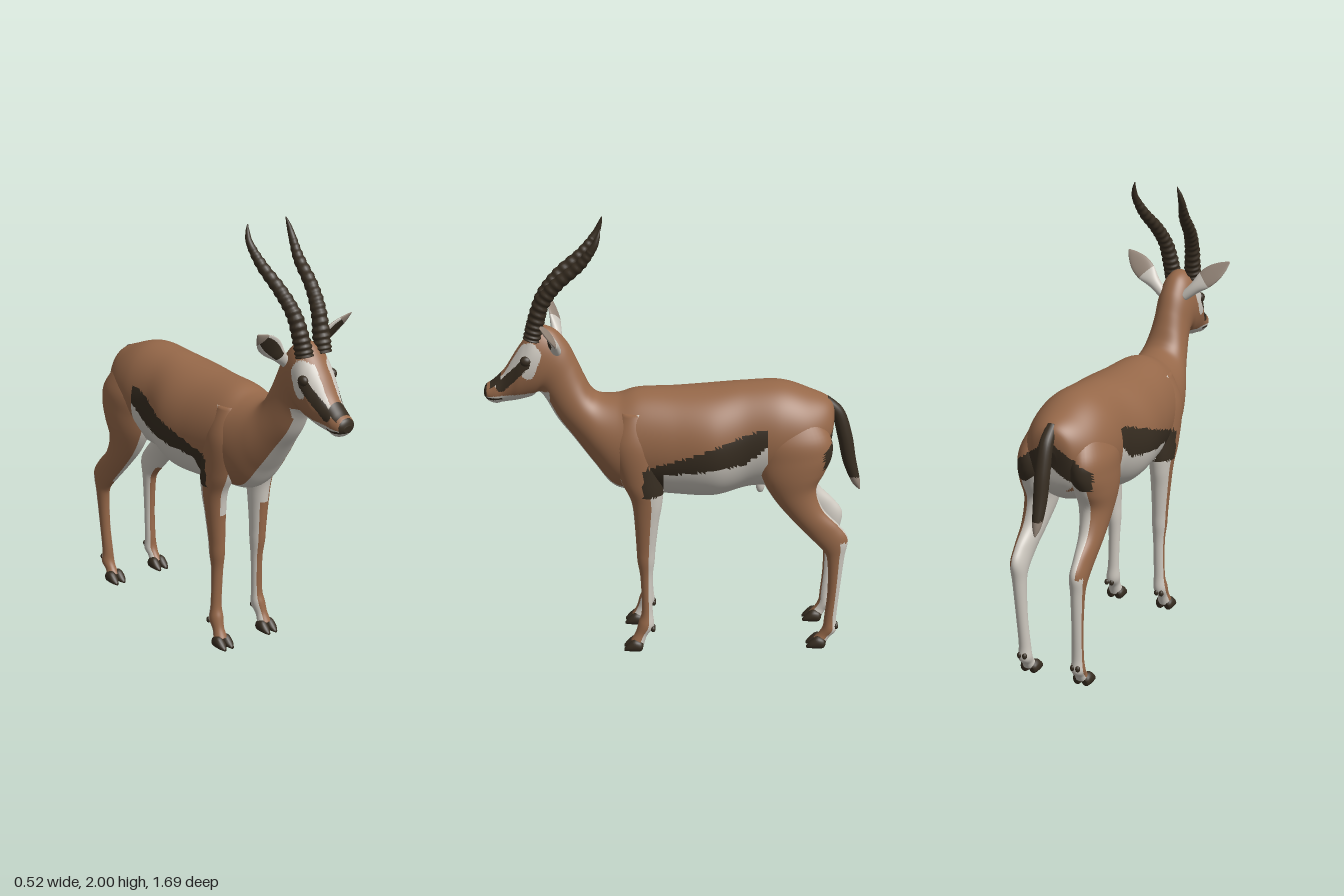
import * as THREE from 'three';

const mat = (name, color) => {
  const m = new THREE.MeshStandardMaterial({ color });
  m.name = name;
  return m;
};
const TAN = mat('tan coat', 0x966849);
const WHITE = mat('white fur', 0xcdc8bf);
const DARK = mat('dark brown', 0x372d21);
const GREY = mat('ear grey', 0x96877a);

const spline = (a, b, c, d, t) =>
  b + 0.5 * t * (c - a + t * (2 * a - 5 * b + 4 * c - d + t * (3 * (b - c) + d - a)));

// Smooth skin over sections [aZ, aY, bZ, bY, halfWidth, centreX]; a and b are opposite
// outline points. paint(point, angle) picks the material of each face; angle 0 is at a.
function loft(name, secs, paint, { side = 1, seg = 40, step = 7, ridge = null } = {}) {
  const pos = [], ang = [], idx = [];
  const n = (secs.length - 1) * step;
  const at = (i) => secs[Math.max(0, Math.min(secs.length - 1, i))];
  for (let k = 0; k <= n; k++) {
    const i = Math.min(Math.floor(k / step), secs.length - 2), t = k / step - i;
    const [az, ay, bz, by, w, cx] = [0, 1, 2, 3, 4, 5].map((c) =>
      spline(...[-1, 0, 1, 2].map((o) => at(i + o)[c] ?? 0), t));
    const f = ridge ? ridge(k / n) : 1;
    for (let j = 0; j < seg; j++) {
      const a = (j / seg) * Math.PI * 2, c = Math.cos(a) * f / 2;
      pos.push(side * (cx + w * f * Math.sin(a)), (ay + by) / 2 + (ay - by) * c, (az + bz) / 2 + (az - bz) * c);
      ang.push(a);
    }
  }
  for (let k = 0; k < n; k++) for (let j = 0; j < seg; j++) {
    const p = k * seg + j, q = k * seg + (j + 1) % seg;
    idx.push([p, q, p + seg], [q, q + seg, p + seg]);
  }
  for (let j = 1; j < seg - 1; j++) {
    const e = n * seg;
    idx.push([0, j + 1, j], [e, e + j, e + j + 1]);
  }
  const P = (i) => new THREE.Vector3().fromArray(pos, i * 3);
  // Turn the faces outward, whichever way the sections run
  const volume = idx.reduce((s, [a, b, c]) => s + P(a).dot(P(b).cross(P(c))), 0);
  const buckets = new Map();
  for (const [a, b, c] of idx) {
    const mid = P(a).add(P(b)).add(P(c)).divideScalar(3);
    const m = paint.isMaterial ? paint : paint(mid, ang[b]);
    if (!buckets.has(m)) buckets.set(m, []);
    buckets.get(m).push(...(volume < 0 ? [a, c, b] : [a, b, c]));
  }
  const g = new THREE.BufferGeometry();
  g.setAttribute('position', new THREE.Float32BufferAttribute(pos, 3));
  const all = [], mats = [];
  for (const [m, list] of buckets) {
    g.addGroup(all.length, list.length, mats.length);
    mats.push(m);
    for (const v of list) all.push(v);
  }
  g.setIndex(all);
  g.computeVertexNormals();
  const mesh = new THREE.Mesh(g, mats);
  mesh.name = name;
  return mesh;
}

// Sections for a round part along points [x, y, z, radius]
const round = (pts) => pts.map(([x, y, z, r], i) => {
  const p = pts[Math.max(0, i - 1)], q = pts[Math.min(pts.length - 1, i + 1)];
  const l = Math.hypot(q[1] - p[1], q[2] - p[2]);
  const dy = (q[1] - p[1]) / l * r, dz = (q[2] - p[2]) / l * r;
  return [z + dy, y - dz, z - dy, y + dz, r, x];
});

function ball(name, material, r, x, y, z, sx = 1, sy = 1, sz = 1) {
  const m = new THREE.Mesh(new THREE.SphereGeometry(r, 20, 14), material);
  m.name = name;
  m.position.set(x, y, z);
  m.scale.set(sx, sy, sz);
  return m;
}

// Distance from a point to a line segment in the side plane
function segDist(z, y, z0, y0, z1, y1) {
  const dz = z1 - z0, dy = y1 - y0;
  const t = THREE.MathUtils.clamp(((z - z0) * dz + (y - y0) * dy) / (dz * dz + dy * dy), 0, 1);
  return Math.hypot(z - z0 - t * dz, y - y0 - t * dy);
}

// Rump patch: dark slanted band beside the tail, white below
function rumpPaint(p) {
  const d = p.y - (1.14 - Math.abs(p.x) * 0.75);
  if (d > 0) return TAN;
  return d > -0.12 ? DARK : WHITE;
}

function facePaint(p, a) {
  const { y, z } = p, ax = Math.abs(p.x);
  if (z > 0.83 && y > 1.215) return DARK;
  if (Math.cos(a) > 0.6 && z > 0.765 && z < 0.815) return DARK;
  if (z > 0.76 && Math.abs(y - 1.212) < 0.005) return DARK;
  if (y < 1.245 - (z - 0.6) * 0.1) return WHITE;
  if (ax > 0.03 && Math.cos(a) < 0.93) {
    if (segDist(z, y, 0.65, 1.39, 0.765, 1.27) < 0.021) return DARK;
    if (segDist(z, y, 0.625, 1.45, 0.68, 1.42) < 0.03) return WHITE;
    if (segDist(z, y, 0.68, 1.42, 0.78, 1.29) < 0.022) return WHITE;
    if (segDist(z, y, 0.61, 1.43, 0.64, 1.35) < 0.03) return WHITE;
  }
  return TAN;
}

function bodyPaint(p, a) {
  const { y, z } = p;
  if (z > 0.55 && y > 1.17) return facePaint(p, a);
  if (z > 0.14) return Math.cos(a) < -0.85 ? WHITE : TAN;
  if (z < -0.66) return rumpPaint(p);
  if (z < -0.41) return y < 0.9 ? WHITE : TAN;
  // Flank stripe over a white belly
  const top = 0.925 + (0.14 - z) * 0.37;
  const low = z > 0.05 ? 0.79 : 0.9 + (0.05 - z) * 0.15 + Math.max(0, -0.31 - z) * 0.7;
  return y > Math.min(top, 1.115) ? TAN : y > low ? DARK : WHITE;
}

// Rump to nose: back line, belly line, half width
const BODY = [
  [-0.715, 1.10, -0.70, 1.02, 0.03], [-0.70, 1.19, -0.68, 0.92, 0.105],
  [-0.60, 1.24, -0.60, 0.84, 0.17], [-0.47, 1.28, -0.47, 0.80, 0.195],
  [-0.30, 1.275, -0.33, 0.785, 0.192], [-0.15, 1.26, -0.18, 0.745, 0.222],
  [0, 1.25, 0, 0.75, 0.205], [0.16, 1.245, 0.15, 0.765, 0.185],
  [0.25, 1.22, 0.27, 0.79, 0.172], [0.33, 1.22, 0.36, 0.90, 0.145],
  [0.37, 1.25, 0.45, 1.02, 0.115], [0.40, 1.31, 0.52, 1.11, 0.095],
  [0.43, 1.38, 0.57, 1.20, 0.084], [0.47, 1.46, 0.60, 1.235, 0.085],
  [0.53, 1.525, 0.63, 1.215, 0.09], [0.60, 1.54, 0.66, 1.205, 0.092],
  [0.65, 1.49, 0.70, 1.195, 0.085], [0.70, 1.42, 0.73, 1.19, 0.07],
  [0.75, 1.34, 0.765, 1.185, 0.057], [0.80, 1.29, 0.79, 1.18, 0.055],
  [0.835, 1.265, 0.82, 1.19, 0.045], [0.845, 1.24, 0.84, 1.21, 0.022],
];

// Legs: front line, back line, half width, centre x
const FRONT_LEG = [
  [0.24, 1.17, 0.12, 1.17, 0.05, 0.09], [0.28, 1.03, 0.07, 1.03, 0.072, 0.118],
  [0.24, 0.86, 0.05, 0.84, 0.066, 0.125], [0.195, 0.76, 0.055, 0.74, 0.052, 0.128],
  [0.18, 0.65, 0.07, 0.65, 0.044, 0.125], [0.172, 0.52, 0.085, 0.52, 0.036, 0.12],
  [0.168, 0.45, 0.09, 0.45, 0.034, 0.118], [0.155, 0.36, 0.10, 0.36, 0.027, 0.116],
  [0.15, 0.20, 0.10, 0.20, 0.026, 0.12], [0.165, 0.14, 0.095, 0.12, 0.032, 0.124],
  [0.178, 0.09, 0.125, 0.075, 0.027, 0.128], [0.20, 0.05, 0.14, 0.03, 0.034, 0.13],
];
const HIND_LEG = [
  [-0.40, 1.16, -0.62, 1.17, 0.06, 0.085], [-0.36, 1.05, -0.69, 1.06, 0.084, 0.115],
  [-0.365, 0.95, -0.70, 0.98, 0.087, 0.123], [-0.39, 0.86, -0.67, 0.90, 0.08, 0.13],
  [-0.45, 0.76, -0.635, 0.82, 0.066, 0.132], [-0.53, 0.665, -0.665, 0.72, 0.05, 0.138],
  [-0.61, 0.58, -0.74, 0.64, 0.038, 0.142], [-0.675, 0.51, -0.782, 0.575, 0.034, 0.142],
  [-0.695, 0.45, -0.77, 0.48, 0.029, 0.14], [-0.70, 0.30, -0.755, 0.31, 0.025, 0.135],
  [-0.69, 0.17, -0.745, 0.17, 0.026, 0.13], [-0.685, 0.12, -0.748, 0.105, 0.031, 0.13],
  [-0.667, 0.085, -0.72, 0.07, 0.026, 0.13], [-0.645, 0.06, -0.705, 0.045, 0.032, 0.13],
];
// Brown covers the outer side between two angles in degrees, white elsewhere
const outer = (a, from, to) => {
  const d = THREE.MathUtils.radToDeg(a > Math.PI * 1.5 ? a - Math.PI * 2 : a);
  return d > from && d < to ? TAN : WHITE;
};
const frontPaint = (p, a) =>
  p.y > 0.79 && p.z < 0.14 ? bodyPaint(p, a) : outer(a, p.y > 0.65 ? 20 : -35, 112);
const hindPaint = (p, a) => {
  if (p.y > 0.92) return p.z < -0.66 ? rumpPaint(p) : outer(a, -40, 180);
  return p.y > 0.56 ? outer(a, 22, 165) : outer(a, -35, 112);
};

function hooves(name, s, dz, dy) {
  const g = new THREE.Group();
  g.name = name;
  for (const x of [0.109, 0.151]) {
    g.add(loft('hoofClaw', [
      [0.142, 0.035, 0.148, 0.008, 0.010, x], [0.155, 0.05, 0.155, 0, 0.02, x],
      [0.185, 0.058, 0.18, -0.002, 0.023, x], [0.212, 0.036, 0.21, 0, 0.019, x],
      [0.232, 0.012, 0.232, 0.001, 0.007, x],
    ], DARK, { side: s, seg: 16, step: 4 }));
    g.add(ball('dewclaw', DARK, 0.011, s * (x * 0.6 + 0.052), 0.108, 0.098, 1, 1.3, 1));
  }
  g.position.set(0, dy, dz);
  return g;
}

const HORN = round([
  [0.05, 1.49, 0.622, 0.038], [0.055, 1.56, 0.605, 0.037], [0.066, 1.66, 0.572, 0.033],
  [0.083, 1.75, 0.505, 0.029], [0.1, 1.84, 0.405, 0.024], [0.114, 1.92, 0.345, 0.016],
  [0.112, 1.965, 0.325, 0.01], [0.104, 2.0, 0.315, 0.002],
]);
const hornRidge = (v) => 1 + (v < 0.68 ? 0.07 * Math.sin(v * Math.PI * 2 * 24) : 0);

// Ear in its own frame, growing along y with the opening toward +z
const EAR = [
  [0.02, -0.03, -0.02, -0.03, 0.022], [0.018, 0.04, -0.026, 0.04, 0.03],
  [0.004, 0.10, -0.024, 0.10, 0.046], [0.002, 0.155, -0.018, 0.155, 0.045],
  [0.004, 0.205, -0.010, 0.205, 0.028], [0.002, 0.245, -0.002, 0.245, 0.004],
];
function earPaint(p, a) {
  if (Math.cos(a) < 0.1) return p.y > 0.1 ? GREY : WHITE;
  return p.y > 0.05 && p.y < 0.19 && Math.abs(Math.sin(a)) < 0.6 ? DARK : p.y > 0.19 ? GREY : WHITE;
}

export function createModel() {
  const model = new THREE.Group();
  model.name = 'gazelle';
  model.add(loft('bodyNeckAndHead', BODY, bodyPaint, { seg: 96, step: 10 }));
  model.add(loft('tail', round([
    [0, 1.19, -0.67, 0.025], [0, 1.13, -0.73, 0.03], [0, 1.02, -0.765, 0.033],
    [0, 0.90, -0.79, 0.03], [0, 0.80, -0.822, 0.02], [0, 0.755, -0.842, 0.003],
  ]), (p) => (p.y < 0.82 ? GREY : DARK), { seg: 20 }));
  model.add(ball('sheath', WHITE, 0.02, 0, 0.775, -0.39, 0.8, 1.8, 1));

  for (const s of [1, -1]) {
    const label = s > 0 ? 'left' : 'right';
    model.add(loft(label + 'FrontLeg', FRONT_LEG, frontPaint, { side: s }));
    model.add(loft(label + 'HindLeg', HIND_LEG, hindPaint, { side: s }));
    model.add(hooves(label + 'FrontHoof', s, 0, 0.002));
    model.add(hooves(label + 'HindHoof', s, -0.842, 0.017));
    model.add(loft(label + 'Horn', HORN, DARK, { side: s, seg: 18, step: 24, ridge: hornRidge }));
    model.add(ball(label + 'Eye', DARK, 0.026, s * 0.078, 1.4, 0.648, 0.8, 0.9, 1));

    const ear = loft(label + 'Ear', EAR, earPaint, { side: s });
    ear.rotation.set(0.2, s * 0.45, s * -0.86, 'ZXY');
    ear.position.set(s * 0.075, 1.455, 0.52);
    model.add(ear);
  }
  return model;
}
